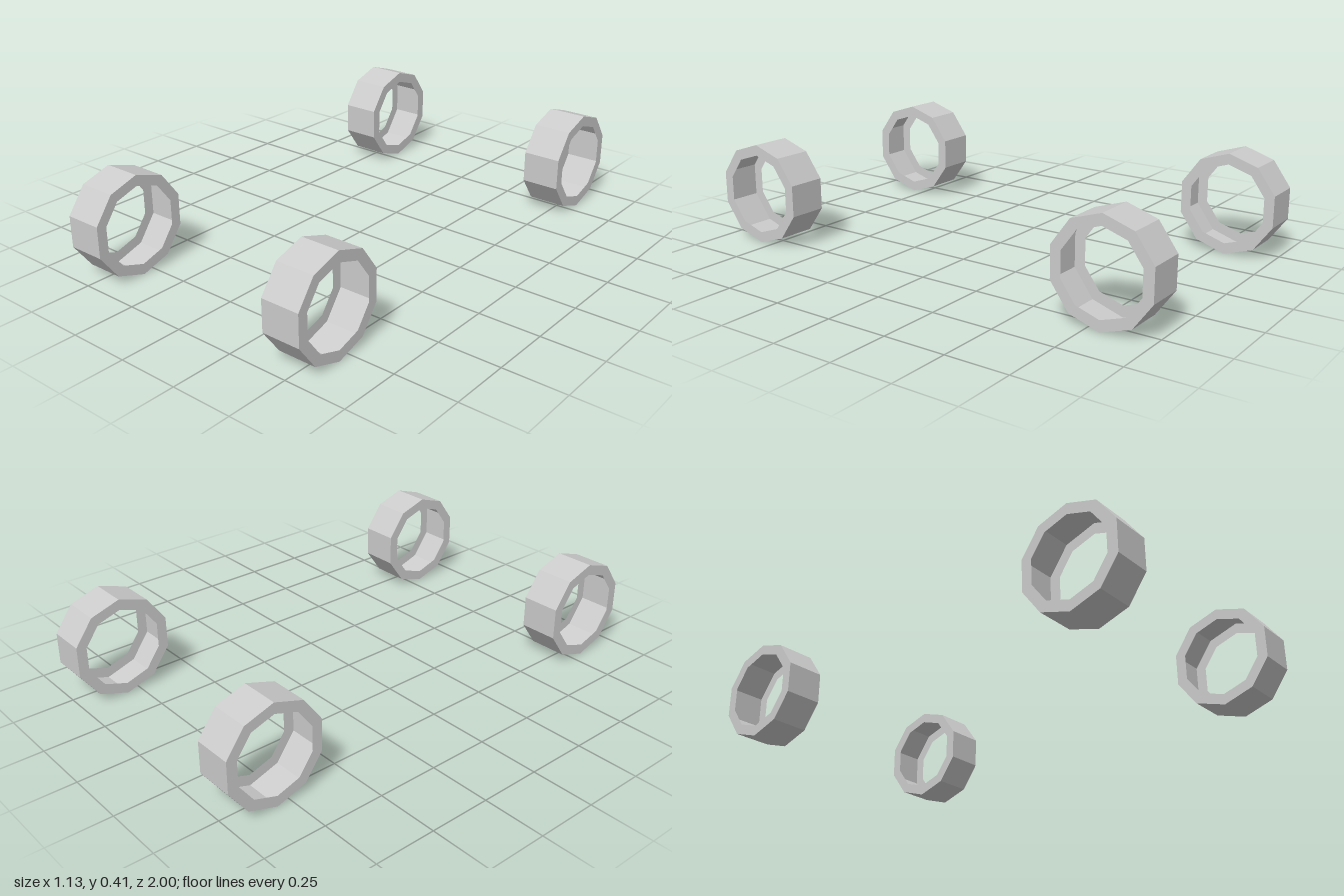
import * as THREE from 'three';

const SIDES = 10;
const OUTER = 0.2055;
const INNER = 0.162;
const WIDTH = 0.158;

// Hollow ten-sided tyre shell, open towards the axle, which runs along x
function tyreGeometry() {
  const h = WIDTH / 2;
  const profile = [[INNER, -h], [OUTER, -h], [OUTER, h], [INNER, h]]
    .map(([r, y]) => new THREE.Vector2(r, y));
  // start at a quarter turn so that a corner points straight up
  const geometry = new THREE.LatheGeometry(profile, SIDES, Math.PI / 2);
  geometry.rotateZ(Math.PI / 2);
  return geometry;
}

export function createModel() {
  const model = new THREE.Group();
  model.name = 'tyreSet';
  const material = new THREE.MeshStandardMaterial({
    color: 0xcccccc, flatShading: true, side: THREE.DoubleSide,
  });
  const geometry = tyreGeometry();

  // Four tyres, mirrored left/right and front/back
  for (const [end, z] of [['front', 1], ['back', -1]]) {
    for (const [side, x] of [['Left', 1], ['Right', -1]]) {
      const tyre = new THREE.Mesh(geometry, material);
      tyre.name = `${end}${side}Tyre`;
      tyre.position.set(x * 0.487, OUTER, z * 0.8045);
      model.add(tyre);
    }
  }
  return model;
}
